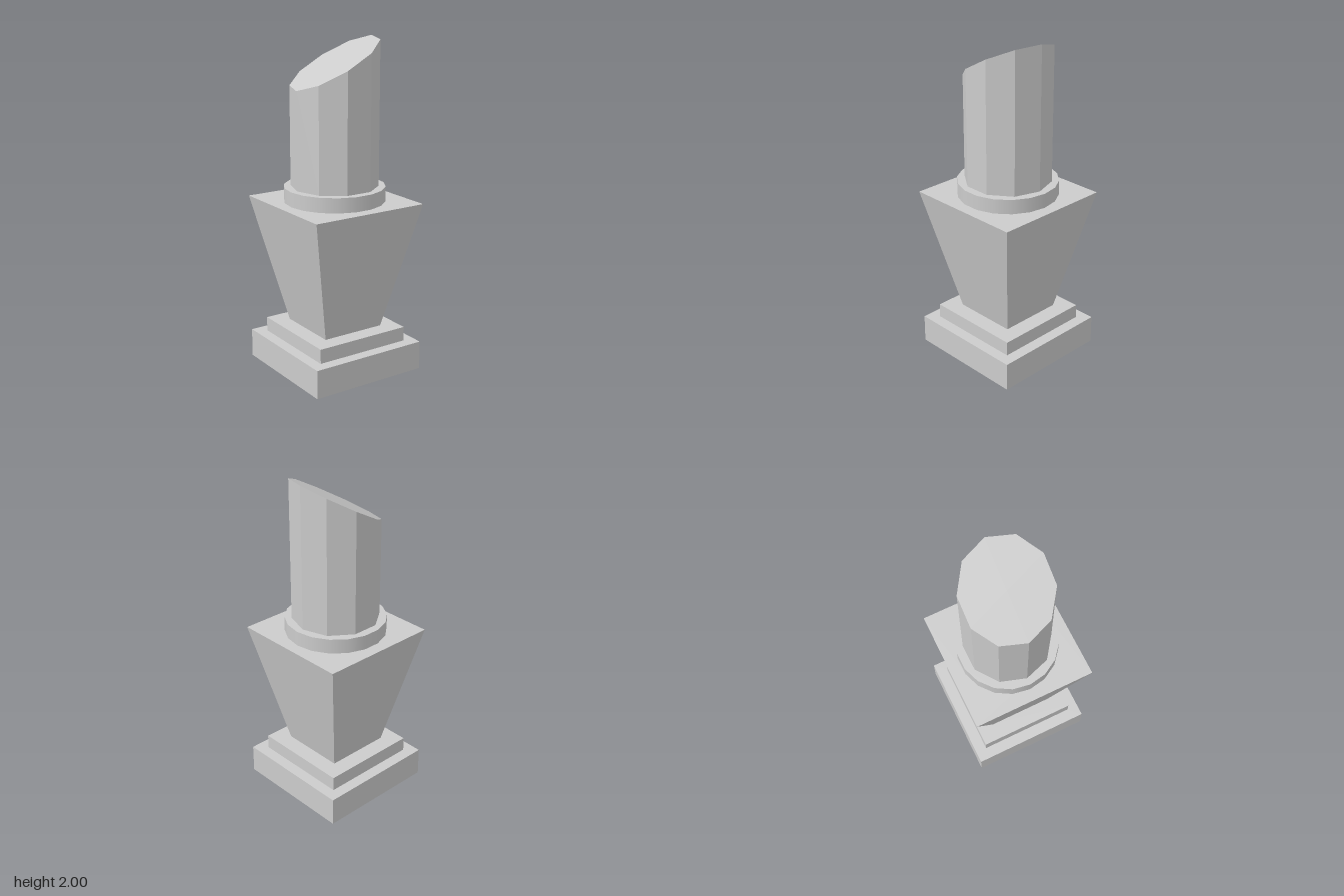
import * as THREE from 'three';

const stone = (flat) => new THREE.MeshStandardMaterial({
  color: 0xcccccc, flatShading: flat, side: THREE.DoubleSide,
});

// Corner points of a regular polygon
function polygon(sides, radius, start = 0) {
  return Array.from({ length: sides }, (_, i) => {
    const a = start + (i / sides) * Math.PI * 2;
    return new THREE.Vector2(radius * Math.cos(a), radius * Math.sin(a));
  });
}

// Horizontal surface with a polygonal opening
function ledge(outer, inner, y) {
  const shape = new THREE.Shape(outer);
  shape.holes.push(new THREE.Path(inner));
  return new THREE.ShapeGeometry(shape).rotateX(-Math.PI / 2).translate(0, y, 0);
}

// Faceted shell from a [radius, height] profile
function facetedShell(profile, sides, start) {
  const points = profile.map(([r, y]) => new THREE.Vector2(r, y));
  return new THREE.LatheGeometry(points, sides, start);
}

export function createModel() {
  const group = new THREE.Group();
  const add = (name, geometry, flat = true) => {
    const mesh = new THREE.Mesh(geometry, stone(flat));
    mesh.name = name;
    group.add(mesh);
  };

  const WIDE = 0.373, STEP = 0.303, NECK = 0.2;
  const SLAB_TOP = 0.175, STEP_TOP = 0.263, BLOCK_TOP = 1.043, COLLAR_TOP = 1.132;
  const COLUMN = 0.261;
  const square = (profile) =>
    facetedShell(profile.map(([half, y]) => [half * Math.SQRT2, y]), 4, Math.PI / 4);

  // Hollow square base, open underneath
  add('baseSlab', square([[WIDE, 0], [WIDE, SLAB_TOP], [STEP, SLAB_TOP]]));
  add('baseStep', square([[STEP, SLAB_TOP], [STEP, STEP_TOP], [NECK, STEP_TOP]]));

  // Pedestal flaring upwards, with its top around the collar
  add('pedestal', square([[NECK, STEP_TOP], [WIDE, BLOCK_TOP]]));
  add('pedestalTop', ledge(
    polygon(4, WIDE * Math.SQRT2, Math.PI / 4), polygon(18, STEP), BLOCK_TOP));

  // Round collar with smooth sides
  add('collar', new THREE.CylinderGeometry(
    STEP, STEP, COLLAR_TOP - BLOCK_TOP, 18, 1, true, Math.PI / 2)
    .translate(0, (BLOCK_TOP + COLLAR_TOP) / 2, 0), false);
  add('collarTop', ledge(polygon(18, STEP), polygon(10, COLUMN), COLLAR_TOP));

  // Ten-sided broken column, its top cut by a sloping plane
  const column = facetedShell([[COLUMN, COLLAR_TOP], [COLUMN, 2], [0, 2]], 10, Math.PI / 2);
  const p = column.attributes.position;
  for (let i = 0; i < p.count; i++) {
    if (p.getY(i) > 1.5) p.setY(i, 1.857 + 0.547 * p.getX(i) + 0.11 * p.getZ(i));
  }
  add('brokenColumn', column);

  return group;
}
